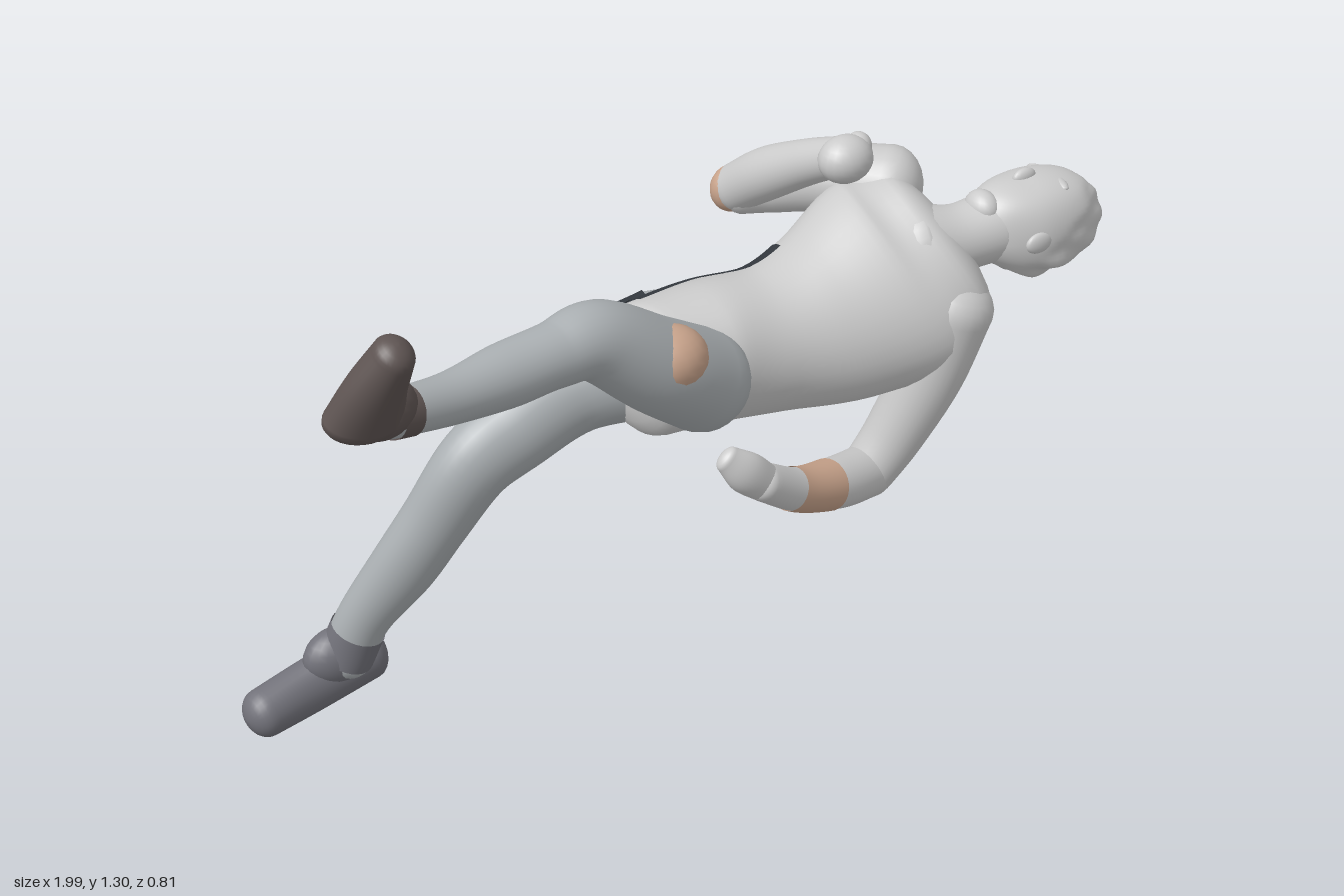
import * as THREE from 'three';

const GREY = 0xcccccc, CLOTH = 0xabb0b3, DARK = 0x34393f, SKIN = 0xc9a48c, BOOT = 0x5f5553, SHOE = 0x73737b;

// Smooth loft through stations [x, y, z, halfWidth, halfDepth]; axis is the width direction.
// s0..s1 and a0..a1 cut out a patch, grow lifts it off the surface, cap rounds the ends.
function loft(name, stations, axis, color, opt = {}) {
  const { s0 = 0, s1 = 1, a0 = 0, a1 = Math.PI * 2, grow = 0, cap = 0.8, sides = 28, rows = 30 } = opt;
  const full = a1 - a0 > 6.28;
  const path = new THREE.CatmullRomCurve3(stations.map(p => new THREE.Vector3(p[0], p[1], p[2])), false, 'catmullrom');
  const size = new THREE.CatmullRomCurve3(stations.map(p => new THREE.Vector3(p[3], p[4] ?? p[3], 0)), false, 'catmullrom');
  const rings = [];
  const CAP = 6;
  const addCap = (s, sign) => {
    for (let k = 1; k <= CAP; k++) {
      const a = (sign < 0 ? CAP + 1 - k : k) / CAP * Math.PI / 2;
      rings.push([s, Math.max(Math.cos(a), 0.001), sign * Math.sin(a) * cap]);
    }
  };
  if (cap) addCap(s0, -1);
  for (let i = 0; i <= rows; i++) rings.push([s0 + (s1 - s0) * i / rows, 1, 0]);
  if (cap) addCap(s1, 1);

  const pos = [], idx = [], w = new THREE.Vector3(...axis);
  const n = full ? sides : sides + 1;
  for (const [s, scale, push] of rings) {
    const c = path.getPoint(s), r = size.getPoint(s), t = path.getTangent(s);
    const u = w.clone().addScaledVector(t, -w.dot(t)).normalize();
    const v = t.clone().cross(u);
    c.addScaledVector(t, push * Math.min(r.x, r.y));
    for (let j = 0; j < n; j++) {
      const a = a0 + (a1 - a0) * j / sides;
      const p = c.clone().addScaledVector(u, Math.cos(a) * (r.x + grow) * scale)
        .addScaledVector(v, Math.sin(a) * (r.y + grow) * scale);
      pos.push(p.x, p.y, p.z);
    }
  }
  for (let i = 0; i < rings.length - 1; i++) {
    for (let j = 0; j < (full ? n : n - 1); j++) {
      const k = (j + 1) % n, a = i * n, b = a + n;
      idx.push(a + j, a + k, b + j, a + k, b + k, b + j);
    }
  }
  const g = new THREE.BufferGeometry();
  g.setAttribute('position', new THREE.Float32BufferAttribute(pos, 3));
  g.setIndex(idx);
  g.computeVertexNormals();
  const m = new THREE.Mesh(g, new THREE.MeshStandardMaterial({ color, side: cap ? THREE.FrontSide : THREE.DoubleSide }));
  m.name = name;
  return m;
}

function blob(name, at, radii, color = GREY) {
  const m = new THREE.Mesh(new THREE.SphereGeometry(1, 20, 14), new THREE.MeshStandardMaterial({ color }));
  m.position.set(...at);
  m.scale.set(...radii);
  m.name = name;
  return m;
}

// Head lying on its back: crown toward +x, face toward +y, tufted hair behind
function makeHead() {
  const head = new THREE.Group();
  head.name = 'head';
  const g = new THREE.SphereGeometry(1, 64, 44);
  const p = g.attributes.position;
  for (let i = 0; i < p.count; i++) {
    let x = p.getX(i), y = p.getY(i), z = p.getZ(i);
    const hair = THREE.MathUtils.smoothstep(x * 0.9 - y * 0.7, 0.0, 0.4);
    const bumps = Math.sin(9 * x + 5 * z) * Math.sin(10 * y - 3 * z) + Math.sin(11 * z + 4 * x + 3 * y);
    // Slightly boxy skull with lumpy hair
    const k = (1 + hair * 0.04 * bumps) / Math.pow(x ** 4 + y ** 4 + z ** 4, 0.06);
    const jaw = THREE.MathUtils.smoothstep(-x, 0.1, 1);
    y *= y < 0 ? 1 - 0.4 * jaw : 1 + 0.15 * jaw;
    z *= 1 - 0.2 * jaw;
    p.setXYZ(i, 0.82 + x * k * 0.165, 0.962 + y * k * 0.114, 0.072 + z * k * 0.11);
  }
  g.computeVertexNormals();
  const skull = new THREE.Mesh(g, new THREE.MeshStandardMaterial({ color: GREY }));
  skull.name = 'skull';
  head.add(skull,
    blob('nose', [0.8, 1.073, 0.072], [0.03, 0.02, 0.014]),
    blob('brow', [0.865, 1.054, 0.072], [0.022, 0.016, 0.07]),
    blob('lips', [0.745, 1.061, 0.072], [0.012, 0.01, 0.024]),
    blob('chin', [0.69, 1.03, 0.072], [0.035, 0.038, 0.045]));
  for (const s of [-1, 1]) head.add(blob('ear', [0.77, 0.965, 0.072 + s * 0.102], [0.034, 0.024, 0.012]));
  return head;
}

export function createModel() {
  const model = new THREE.Group();
  model.name = 'recliningFigure';
  const X = [1, 0, 0], Y = [0, 1, 0], Z = [0, 0, 1];

  // Torso, twisted so the right shoulder sits high and to the back
  const torso = [
    [-0.09, 0.82, -0.03, 0.145, 0.16], [0.05, 0.812, -0.042, 0.153, 0.185], [0.2, 0.81, -0.02, 0.16, 0.165],
    [0.35, 0.835, 0, 0.2, 0.162], [0.5, 0.895, 0.02, 0.237, 0.152], [0.585, 0.95, 0.04, 0.2, 0.12]];
  const across = [0, -0.78, 0.62];
  model.add(
    loft('torso', torso, across, GREY, { cap: 0.5, sides: 40 }),
    loft('darkBackPanel', torso, across, DARK, { s0: 0, s1: 0.52, a0: 0.8, a1: 3.5, grow: 0.003, cap: 0 }),
    loft('neck', [[0.54, 0.96, 0.04, 0.1], [0.63, 0.965, 0.06, 0.076], [0.72, 0.975, 0.07, 0.078]], Z, GREY),
    makeHead());

  // Right arm, folded back over the chest
  const rightFore = [[0.305, 1.025, -0.3, 0.054], [0.325, 1.09, -0.21, 0.058], [0.35, 1.155, -0.1, 0.05], [0.37, 1.2, -0.01, 0.043]];
  model.add(
    loft('rightUpperArm', [[0.565, 1.043, -0.095, 0.091], [0.46, 1.05, -0.195, 0.077], [0.37, 1.03, -0.265, 0.064], [0.31, 1.02, -0.295, 0.055]], Y, GREY),
    loft('rightForearm', rightFore, X, GREY),
    blob('rightElbow', [0.3, 1.02, -0.31], [0.053, 0.054, 0.044], SKIN),
    blob('rightFist', [0.365, 1.208, 0.02], [0.062, 0.052, 0.052]),
    blob('rightThumb', [0.405, 1.225, 0.01], [0.027, 0.03, 0.03]));

  // Left arm, bent under the body with the hand at the waist
  const leftFore = [[0.41, 0.46, 0.07, 0.06], [0.3, 0.485, 0.11, 0.058], [0.17, 0.53, 0.15, 0.048], [0.06, 0.6, 0.18, 0.042]];
  model.add(
    loft('leftUpperArm', [[0.57, 0.855, 0.14, 0.091], [0.525, 0.7, 0.125, 0.078], [0.465, 0.55, 0.09, 0.067], [0.41, 0.46, 0.07, 0.06]], X, GREY),
    loft('leftForearm', leftFore, Z, GREY),
    loft('leftBareWrist', leftFore, Z, SKIN, { s0: 0.42, s1: 0.74, grow: 0.002, cap: 0 }),
    loft('leftHand', [[0.06, 0.6, 0.18, 0.035, 0.042], [0.01, 0.645, 0.188, 0.03, 0.045], [-0.03, 0.685, 0.18, 0.02, 0.03]], Z, GREY));

  // Left leg, raised
  const leftLeg = [
    [-0.04, 0.835, 0.09, 0.115, 0.11], [-0.18, 0.935, 0.132, 0.112, 0.1], [-0.33, 1.045, 0.158, 0.083, 0.084], [-0.44, 1.053, 0.175, 0.068],
    [-0.56, 1.05, 0.19, 0.066], [-0.7, 1.06, 0.225, 0.053], [-0.85, 1.09, 0.265, 0.047]];
  model.add(
    loft('leftLeg', leftLeg, Z, CLOTH, { rows: 44 }),
    blob('leftThighPatch', [-0.17, 0.965, 0.175], [0.085, 0.07, 0.075], SKIN),
    loft('leftBoot', [[-0.915, 1.115, 0.285, 0.055, 0.086], [-0.905, 1.19, 0.32, 0.052, 0.066], [-0.885, 1.275, 0.362, 0.045, 0.042]], [0, -0.45, 0.9], BOOT),
    blob('leftInstep', [-0.875, 1.12, 0.28], [0.075, 0.066, 0.05], BOOT),
    loft('leftBootCuff', leftLeg, Z, BOOT, { s0: 0.95, s1: 1, grow: 0.003, cap: 0 }));

  // Right leg, planted on the ground
  const rightLeg = [
    [-0.02, 0.81, -0.09, 0.135], [-0.2, 0.765, -0.148, 0.108, 0.112], [-0.35, 0.695, -0.148, 0.082, 0.097], [-0.445, 0.635, -0.158, 0.073, 0.09],
    [-0.52, 0.5, -0.2, 0.068, 0.08], [-0.58, 0.38, -0.243, 0.065, 0.077], [-0.65, 0.25, -0.297, 0.056, 0.062], [-0.685, 0.14, -0.33, 0.058]];
  model.add(
    loft('rightLeg', rightLeg, Z, CLOTH, { rows: 50 }),
    loft('darkHipPanel', rightLeg, Z, DARK, { s0: 0, s1: 0.13, a0: 1.5, a1: 4.7, grow: 0.003, cap: 0 }),
    loft('rightShoe', [[-0.625, 0.115, -0.35, 0.053, 0.066], [-0.77, 0.082, -0.345, 0.052, 0.064], [-0.89, 0.064, -0.33, 0.054, 0.056]], Z, SHOE),
    blob('rightInstep', [-0.7, 0.145, -0.335], [0.085, 0.068, 0.053], SHOE),
    loft('rightShoeCuff', rightLeg, Z, SHOE, { s0: 0.9, s1: 1, grow: 0.003, cap: 0 }));
  return model;
}
